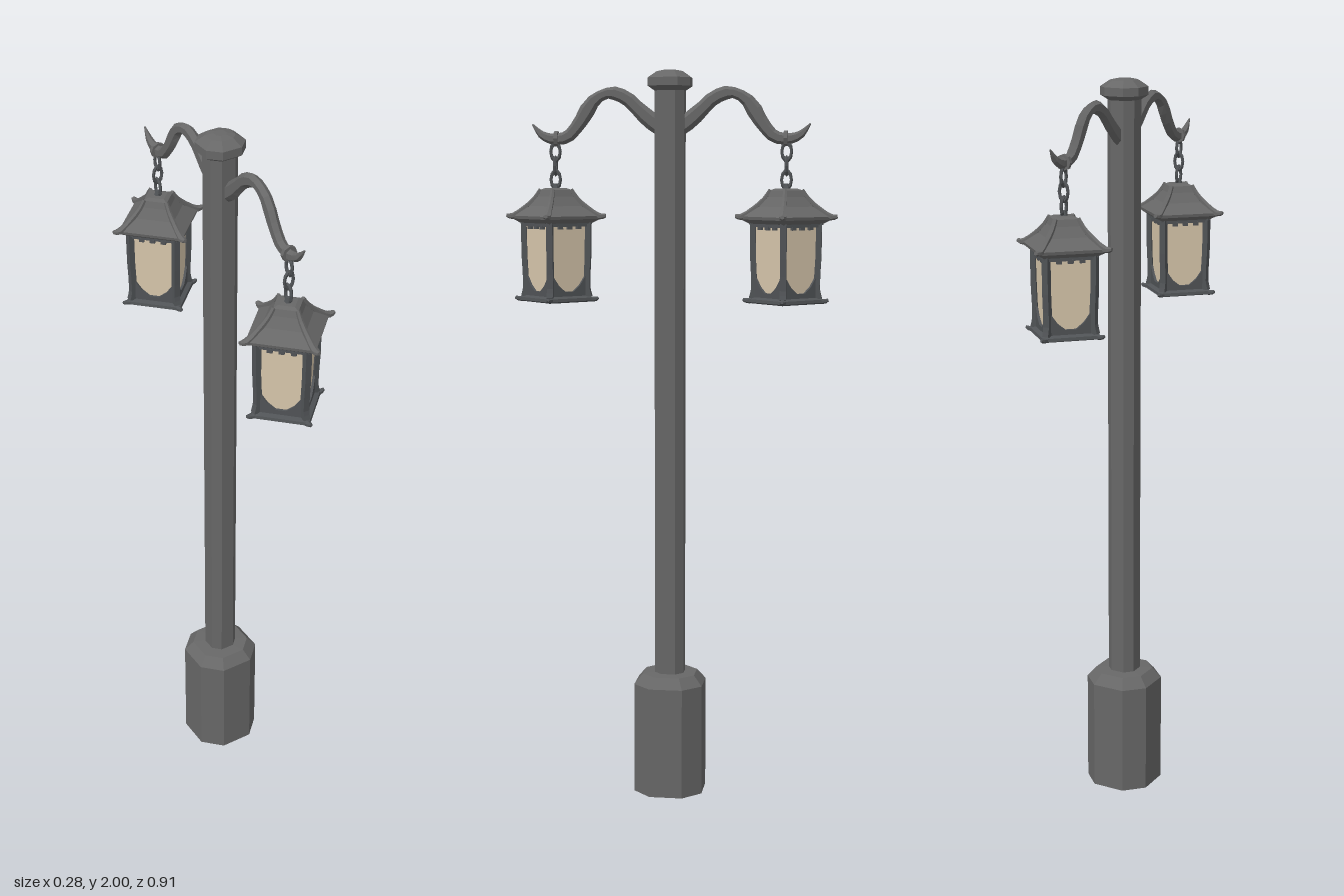
import * as THREE from 'three';

const iron = new THREE.MeshStandardMaterial({ color: 0x676767, side: THREE.DoubleSide });
iron.name = 'iron';
const darkIron = new THREE.MeshStandardMaterial({ color: 0x505356, side: THREE.DoubleSide });
darkIron.name = 'dark iron';
const glass = new THREE.MeshStandardMaterial({ color: 0xd8c7ac, side: THREE.DoubleSide });
glass.name = 'warm glass';

// Faceted mesh: every face keeps its own normal
function part(parent, name, geometry, material, x = 0, y = 0, z = 0) {
  const flat = geometry.index ? geometry.toNonIndexed() : geometry;
  flat.computeVertexNormals();
  const mesh = new THREE.Mesh(flat, material);
  mesh.name = name;
  mesh.position.set(x, y, z);
  parent.add(mesh);
  return mesh;
}

// Joins rings of equal length into a skin, with optional end caps
function loft(rings, capStart, capEnd) {
  const n = rings[0].length, last = (rings.length - 1) * n, index = [];
  for (let i = 0; i < rings.length - 1; i++) {
    for (let j = 0; j < n; j++) {
      const a = i * n + j, b = i * n + (j + 1) % n;
      index.push(a, b, b + n, a, b + n, a + n);
    }
  }
  for (let j = 1; j < n - 1; j++) {
    if (capStart) index.push(0, j + 1, j);
    if (capEnd) index.push(last, last + j, last + j + 1);
  }
  const g = new THREE.BufferGeometry();
  g.setAttribute('position', new THREE.Float32BufferAttribute(rings.flat().flatMap(p => p.toArray()), 3));
  g.setIndex(index);
  return g;
}

// Octagonal column from rows of [half width, y]
function octagon(rows, capStart, capEnd) {
  return loft(rows.map(([w, y]) => {
    const c = w * 0.48;
    return [[w, -c], [c, -w], [-c, -w], [-w, -c], [-w, c], [-c, w], [c, w], [w, c]]
      .map(([x, z]) => new THREE.Vector3(x, y, z));
  }), capStart, capEnd);
}

// Bar along a curve in the yz plane, from rows of [z, y, half width, half height]
function bar(rows, steps, sides) {
  const path = new THREE.CatmullRomCurve3(rows.map(r => new THREE.Vector3(0, r[1], r[0])));
  const size = new THREE.CatmullRomCurve3(rows.map(r => new THREE.Vector3(r[2], r[3], 0)));
  const across = new THREE.Vector3(1, 0, 0), rings = [];
  for (let i = 0; i <= steps; i++) {
    const p = path.getPoint(i / steps), s = size.getPoint(i / steps);
    const up = path.getTangent(i / steps).cross(across);
    rings.push(Array.from({ length: sides }, (_, j) => {
      const a = (j + 0.5) / sides * Math.PI * 2;
      return p.clone().addScaledVector(across, s.x * Math.cos(a)).addScaledVector(up, s.y * Math.sin(a));
    }));
  }
  return loft(rings, true, true);
}

// Four-sided turned shape whose corners lie on the x and z axes
const square = rows => new THREE.LatheGeometry(rows.map(([r, y]) => new THREE.Vector2(r, y)), 4);

function triangle(points) {
  const s = new THREE.Shape(points.map(([x, y]) => new THREE.Vector2(x, y)));
  return new THREE.ExtrudeGeometry(s, { depth: 0.008, bevelEnabled: false });
}

function createLantern() {
  const lantern = new THREE.Group();
  lantern.name = 'lantern';

  part(lantern, 'roof', square([[0.098, 1.59], [0.122, 1.602], [0.124, 1.61], [0.078, 1.637],
    [0.054, 1.663], [0.045, 1.68], [0.03, 1.685], [0, 1.686]]), iron);
  part(lantern, 'ceiling', square([[0, 1.588], [0.1, 1.588], [0.1, 1.602]]), darkIron);
  part(lantern, 'glassBox', square([[0.08, 1.39], [0.087, 1.595]]), glass);
  part(lantern, 'floorPlate', square([[0, 1.37], [0.092, 1.376], [0.108, 1.38], [0.106, 1.388],
    [0.088, 1.394], [0, 1.394]]), darkIron);

  for (let i = 0; i < 4; i++) {
    // Corner pieces
    const corner = new THREE.Group();
    corner.name = 'lanternCorner';
    corner.rotation.y = i * Math.PI / 2;
    lantern.add(corner);
    part(corner, 'roofRib', bar([[0.042, 1.681, 0.006, 0.006], [0.058, 1.657, 0.007, 0.007],
      [0.085, 1.632, 0.008, 0.008], [0.12, 1.609, 0.011, 0.009], [0.138, 1.611, 0.006, 0.005]], 8, 6), iron);
    part(corner, 'cornerPost', bar([[0.089, 1.6, 0.012, 0.011], [0.088, 1.5, 0.012, 0.011],
      [0.085, 1.415, 0.012, 0.011], [0.091, 1.39, 0.012, 0.011]], 6, 4), darkIron);
    part(corner, 'footTip', bar([[0.085, 1.384, 0.012, 0.007], [0.105, 1.383, 0.009, 0.007],
      [0.116, 1.387, 0.004, 0.004]], 3, 6), darkIron);

    // Side pieces
    const side = new THREE.Group();
    side.name = 'lanternSide';
    side.rotation.y = (i + 0.5) * Math.PI / 2;
    lantern.add(side);
    part(side, 'bottomRail', new THREE.BoxGeometry(0.125, 0.018, 0.012), darkIron, 0, 1.397, 0.058);
    part(side, 'topRail', new THREE.BoxGeometry(0.13, 0.012, 0.012), darkIron, 0, 1.588, 0.062);
    for (const s of [-1, 1]) {
      part(side, 'cornerBracket', triangle([[s * 0.06, 1.4], [s * 0.006, 1.4], [s * 0.034, 1.422],
        [s * 0.06, 1.458]]), darkIron, 0, 0, 0.056);
    }
    for (const x of [-0.03, 0, 0.03]) {
      part(side, 'eaveTooth', new THREE.BoxGeometry(0.014, 0.01, 0.01), darkIron, x, 1.58, 0.064);
    }
  }
  return lantern;
}

function createArm() {
  const arm = new THREE.Group();
  arm.name = 'arm';
  part(arm, 'curvedBracket', bar([[0.02, 1.84, 0.014, 0.02], [0.075, 1.885, 0.014, 0.02],
    [0.12, 1.926, 0.014, 0.019], [0.165, 1.94, 0.014, 0.018], [0.207, 1.92, 0.014, 0.018],
    [0.245, 1.864, 0.014, 0.018], [0.28, 1.824, 0.014, 0.017], [0.32, 1.817, 0.013, 0.015],
    [0.352, 1.828, 0.01, 0.011], [0.378, 1.857, 0.002, 0.002]], 20, 6), iron);
  part(arm, 'collar', new THREE.CylinderGeometry(0.021, 0.021, 0.01, 8), iron, 0, 1.818, 0.312)
    .rotation.x = Math.PI / 2;

  // Chain of alternating links
  [1.783, 1.745, 1.708].forEach((y, i) => {
    const link = part(arm, 'chainLink', new THREE.TorusGeometry(0.013, 0.0045, 5, 10), darkIron, 0, y, 0.315);
    link.scale.y = 1.7;
    link.rotation.y = i % 2 ? 0 : Math.PI / 2;
  });
  part(arm, 'hanger', new THREE.CylinderGeometry(0.006, 0.012, 0.016, 6), darkIron, 0, 1.69, 0.315);

  const lantern = createLantern();
  lantern.position.z = 0.315;
  arm.add(lantern);
  return arm;
}

export function createModel() {
  const model = new THREE.Group();
  model.name = 'streetLamp';

  part(model, 'base', octagon([[0.095, 0], [0.095, 0.31], [0.072, 0.338], [0.04, 0.34]]), iron);
  part(model, 'pole', octagon([[0.04, 0.33], [0.04, 1.96]]), iron);
  part(model, 'cap', octagon([[0.04, 1.945], [0.057, 1.957], [0.057, 1.979], [0.034, 1.996], [0.015, 2]],
    true, true), iron);

  // Two arms, front and back
  for (const turn of [0, Math.PI]) {
    const arm = createArm();
    arm.rotation.y = turn;
    model.add(arm);
  }
  return model;
}
